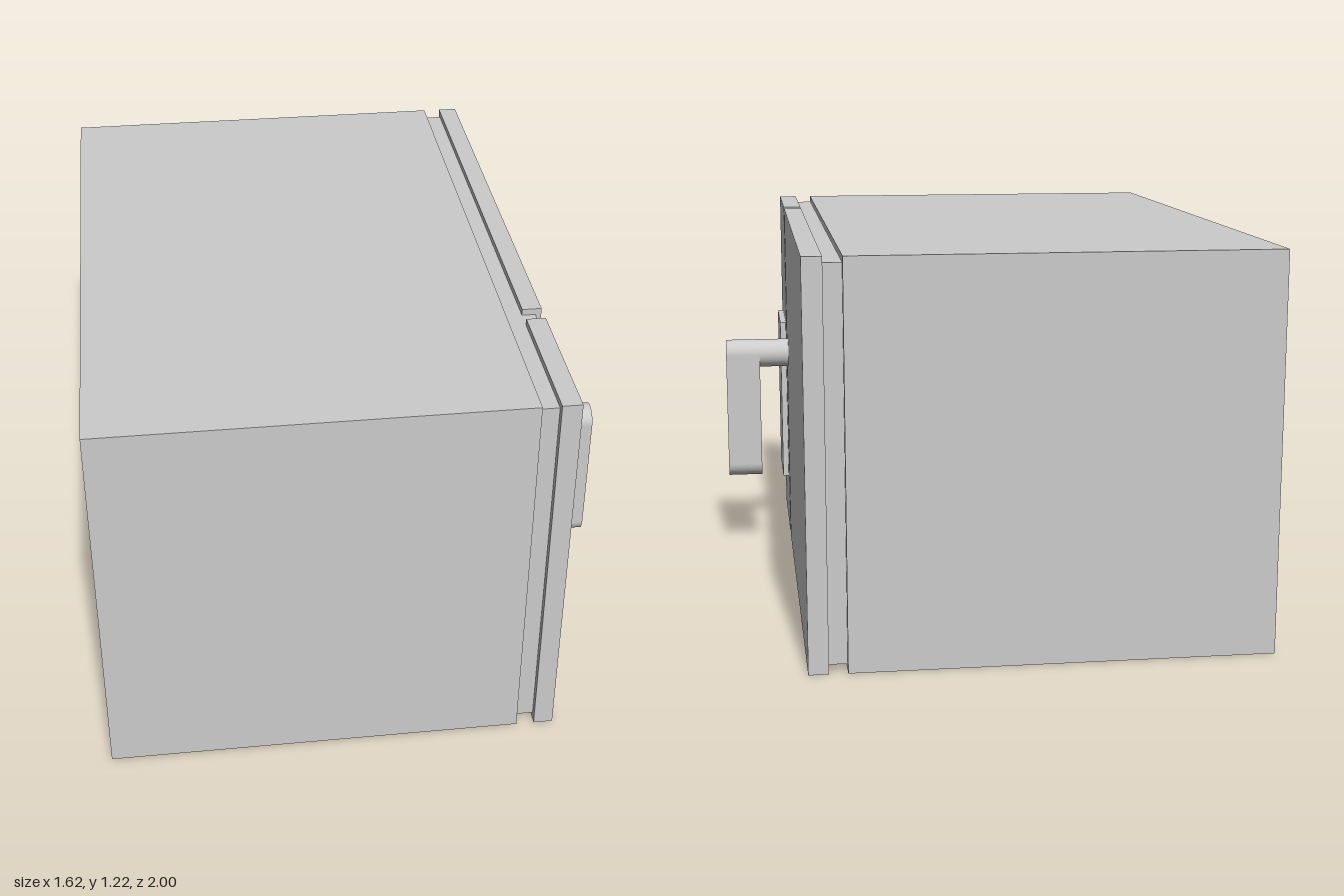
import * as THREE from 'three';

const material = new THREE.MeshStandardMaterial({ color: 0xcccccc });

export function createModel() {
  const group = new THREE.Group();

  const add = (name, geometry) => {
    const mesh = new THREE.Mesh(geometry, material);
    mesh.name = name;
    group.add(mesh);
    return mesh;
  };

  // Box given by its extents along each axis
  const box = (name, [x0, x1], [y0, y1], [z0, z1]) =>
    add(name, new THREE.BoxGeometry(x1 - x0, y1 - y0, z1 - z0))
      .position.set((x0 + x1) / 2, (y0 + y1) / 2, (z0 + z1) / 2);

  const height = [0, 1.217];
  const inset = [0.022, 1.197];

  // Cabinet and the recessed seal behind the door
  box('cabinet', [-0.808, 0.472], height, [-1, 1]);
  box('recessedSeal', [0.472, 0.528], inset, [-0.978, 0.978]);
  box('gapStrip', [0.528, 0.57], inset, [0.472, 0.528]);

  // Door, control panel and its raised plate
  box('door', [0.528, 0.588], height, [-1, 0.472]);
  box('controlPanel', [0.528, 0.588], height, [0.528, 1]);
  box('controlPlate', [0.588, 0.608], [0.198, 0.784], [0.594, 0.9]);

  // Handle: round shaft carrying a lever with rounded ends
  const r = 0.049, top = 0.714, bottom = 0.319, z = 0.351;
  const shaft = add('handleShaft', new THREE.CylinderGeometry(r, r, 0.102, 48));
  shaft.rotation.z = -Math.PI / 2;
  shaft.position.set(0.639, top, z);

  const outline = new THREE.Shape();
  outline.absarc(0, top, r, 0, Math.PI, false);
  outline.absarc(0, bottom, r, Math.PI, Math.PI * 2, false);
  outline.closePath();
  const lever = add('handleLever', new THREE.ExtrudeGeometry(outline, {
    depth: 0.118, bevelEnabled: false, curveSegments: 24,
  }));
  lever.rotation.y = Math.PI / 2;
  lever.position.set(0.69, 0, z);

  return group;
}
